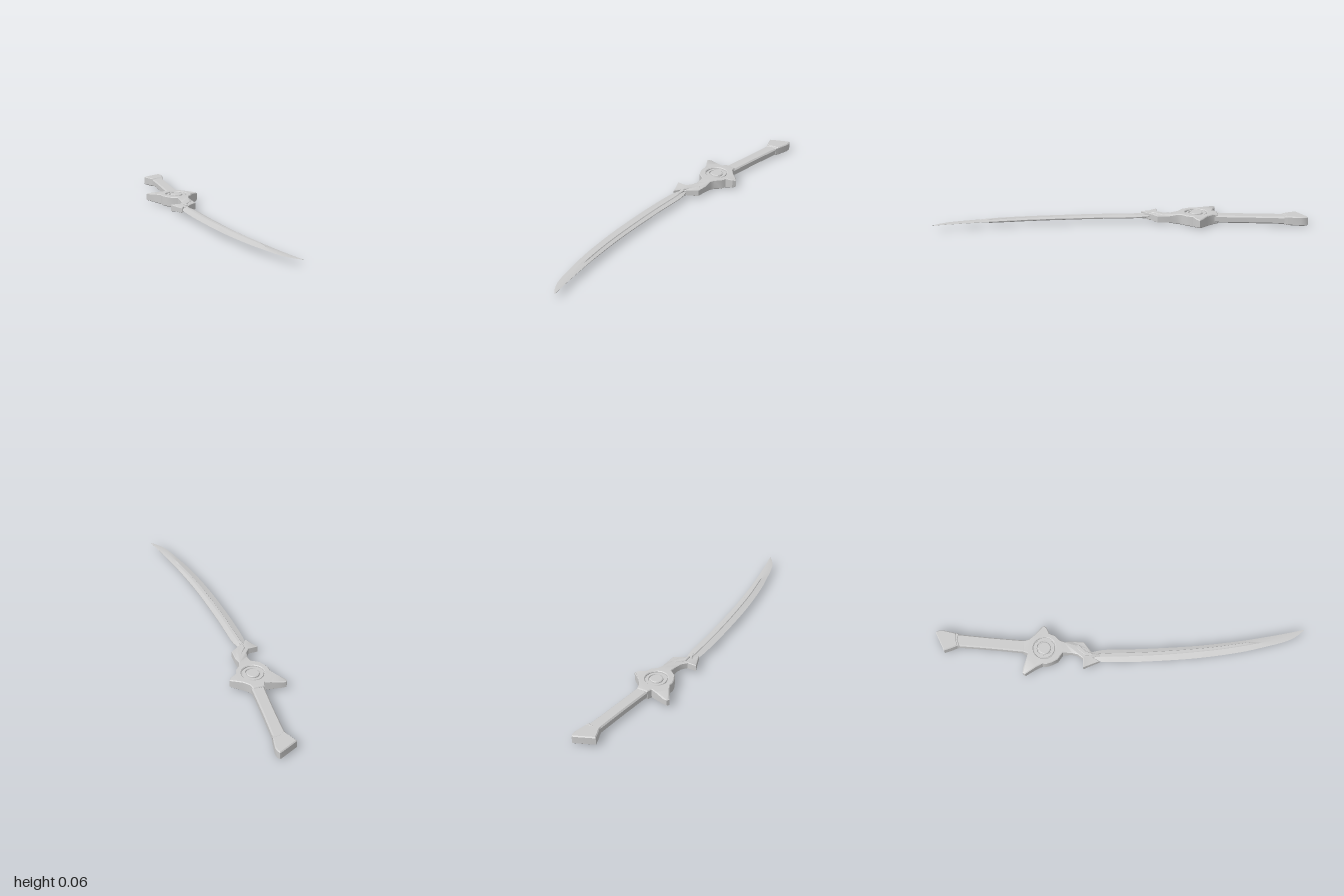
import * as THREE from 'three';
import { toCreasedNormals } from 'three/addons/utils/BufferGeometryUtils.js';

const MID = 0.031; // height of the sword's central plane
const HUB = [0.007, -0.41];
const mat = new THREE.MeshStandardMaterial({ color: 0xcccccc });

function mesh(name, geo) {
  const m = new THREE.Mesh(toCreasedNormals(geo, 0.5), mat);
  m.name = name;
  return m;
}

// Flat bevelled plate from an [x, z] outline, symmetric about the central plane
function plate(pts, half, bevel, holeRadius = 0) {
  const shape = new THREE.Shape(pts.map(([x, z]) => new THREE.Vector2(x, -z)));
  if (holeRadius) {
    shape.holes.push(new THREE.Path().absarc(HUB[0], -HUB[1], holeRadius, 0, Math.PI * 2, true));
  }
  const geo = new THREE.ExtrudeGeometry(shape, {
    depth: 2 * (half - bevel), curveSegments: 32,
    bevelSize: bevel, bevelThickness: bevel, bevelOffset: -bevel, bevelSegments: 1,
  });
  geo.translate(0, 0, -(half - bevel));
  geo.rotateX(-Math.PI / 2);
  return geo;
}

function raise(geo) {
  return geo.translate(0, MID, 0);
}

// Curved blade lofted from diamond sections with a raised rib
function bladeGeometry() {
  const edge = new THREE.SplineCurve([[-0.06, -0.16], [-0.068, -0.05], [-0.066, 0.13], [-0.05, 0.4],
    [-0.02, 0.63], [0.015, 0.79], [0.045, 0.9], [0.076, 0.96], [0.109, 0.998]].map((p) => new THREE.Vector2(...p)));
  const spine = new THREE.SplineCurve([[-0.012, -0.16], [0.002, -0.09], [0.004, 0.02], [0.006, 0.13], [0.02, 0.4],
    [0.045, 0.63], [0.07, 0.79], [0.092, 0.91], [0.111, 0.998]].map((p) => new THREE.Vector2(...p)));
  const N = 60, pos = [], idx = [];
  for (let i = 0; i <= N; i++) {
    const t = i / N;
    const a = edge.getPoint(t), b = spine.getPoint(t);
    const z = (a.y + b.y) / 2;
    const taper = 1 - 0.85 * THREE.MathUtils.smoothstep(z, 0.6, 1);
    const rib = (z < 0.73 ? 0.004 : 0);
    const body = 0.008 * taper;
    // Upper half from cutting edge to spine: [fraction across, height]
    const top = [[0, 0], [0.42, body], [0.46, body + rib], [0.66, body + rib], [0.7, body], [1, 0.002 * taper]];
    const ring = [...top, ...top.slice(1).reverse().map(([f, h]) => [f, -h])];
    for (const [f, h] of ring) {
      pos.push(a.x + (b.x - a.x) * f, MID + h, a.y + (b.y - a.y) * f);
    }
    const n = ring.length;
    for (let k = 0; i < N && k < n; k++) {
      const p = i * n + k, q = i * n + (k + 1) % n;
      idx.push(p, p + n, q, q, p + n, q + n);
    }
    // Close both ends
    if (i === 0 || i === N) {
      for (let k = 1; k < n - 1; k++) {
        const o = i * n;
        if (i === 0) idx.push(o, o + k, o + k + 1);
        else idx.push(o, o + k + 1, o + k);
      }
    }
  }
  const geo = new THREE.BufferGeometry();
  geo.setAttribute('position', new THREE.Float32BufferAttribute(pos, 3));
  geo.setIndex(idx);
  return geo;
}

// Pointed guard, thick around the hub and thinner towards arms and neck
function guardGeometry() {
  const geo = plate([
    [-0.138, -0.512], [-0.13, -0.526], [-0.105, -0.524], [-0.055, -0.508], [-0.022, -0.5], [-0.012, -0.525],
    [0.05, -0.525], [0.057, -0.495], [0.085, -0.462], [0.125, -0.432], [0.138, -0.418], [0.125, -0.4],
    [0.09, -0.385], [0.078, -0.355], [0.052, -0.33], [0.042, -0.305], [0.046, -0.26], [0.043, -0.198],
    [0.005, -0.172], [-0.022, -0.15], [-0.028, -0.105], [-0.045, -0.15], [-0.066, -0.115],
    [-0.084, -0.16], [-0.102, -0.202], [-0.05, -0.203], [-0.028, -0.23], [-0.019, -0.265], [-0.02, -0.312],
    [-0.058, -0.338], [-0.075, -0.37], [-0.084, -0.4], [-0.082, -0.42], [-0.1, -0.455],
  ].reverse(), 0.029, 0.004, 0.06);
  const p = geo.attributes.position;
  for (let i = 0; i < p.count; i++) {
    const r = Math.hypot(p.getX(i) - HUB[0], p.getZ(i) - HUB[1]);
    let s = THREE.MathUtils.lerp(1, 0.66, THREE.MathUtils.smoothstep(r, 0.1, 0.14));
    if (p.getZ(i) > -0.17) s = 0.5;
    p.setY(i, p.getY(i) * s);
  }
  return raise(geo);
}

// Round hub with a raised ring and a central button, on both faces
function hubGeometry() {
  const half = [[0, 0.029], [0.03, 0.029], [0.034, 0.026], [0.035, 0.02], [0.04, 0.02], [0.042, 0.025],
    [0.054, 0.025], [0.056, 0.02], [0.066, 0.02]];
  const profile = [...half.map(([r, h]) => [r, -h]), ...half.slice().reverse()];
  const geo = new THREE.LatheGeometry(profile.map((p) => new THREE.Vector2(...p)), 40);
  return raise(geo.translate(HUB[0], 0, HUB[1]));
}

export function createModel() {
  const sword = new THREE.Group();
  sword.name = 'curvedSword';

  sword.add(mesh('blade', bladeGeometry()));
  sword.add(mesh('guard', guardGeometry()));
  sword.add(mesh('hub', hubGeometry()));

  // Zigzag rib linking the hub to the blade rib
  sword.add(mesh('neckRib', raise(plate([
    [0.002, -0.335], [0.026, -0.335], [0.026, -0.225], [-0.012, -0.185], [-0.024, -0.15],
    [-0.032, -0.15], [-0.034, -0.19], [0.002, -0.235],
  ].reverse(), 0.0225, 0.003))));

  // Gently curved grip with chamfered edges
  const left = new THREE.SplineCurve([[0.028, -0.9], [0.01, -0.7], [-0.012, -0.5]].map((p) => new THREE.Vector2(...p)));
  const right = new THREE.SplineCurve([[0.054, -0.5], [0.073, -0.7], [0.096, -0.9]].map((p) => new THREE.Vector2(...p)));
  const gripOutline = [...left.getPoints(8), ...right.getPoints(8)].map((v) => [v.x, v.y]);
  sword.add(mesh('grip', raise(plate(gripOutline, 0.02, 0.007))));

  // Flared slanted pommel with its collar
  sword.add(mesh('pommel', raise(plate([
    [-0.002, -0.952], [0.015, -0.905], [0.026, -0.882], [0.098, -0.89], [0.115, -0.96], [0.114, -0.985],
    [0.106, -1], [0.095, -0.998],
  ], 0.0245, 0.005))));
  sword.add(mesh('pommelCollar', raise(plate([
    [0.024, -0.888], [0.028, -0.87], [0.06, -0.882], [0.094, -0.875], [0.099, -0.893],
  ], 0.0225, 0.003))));

  return sword;
}
